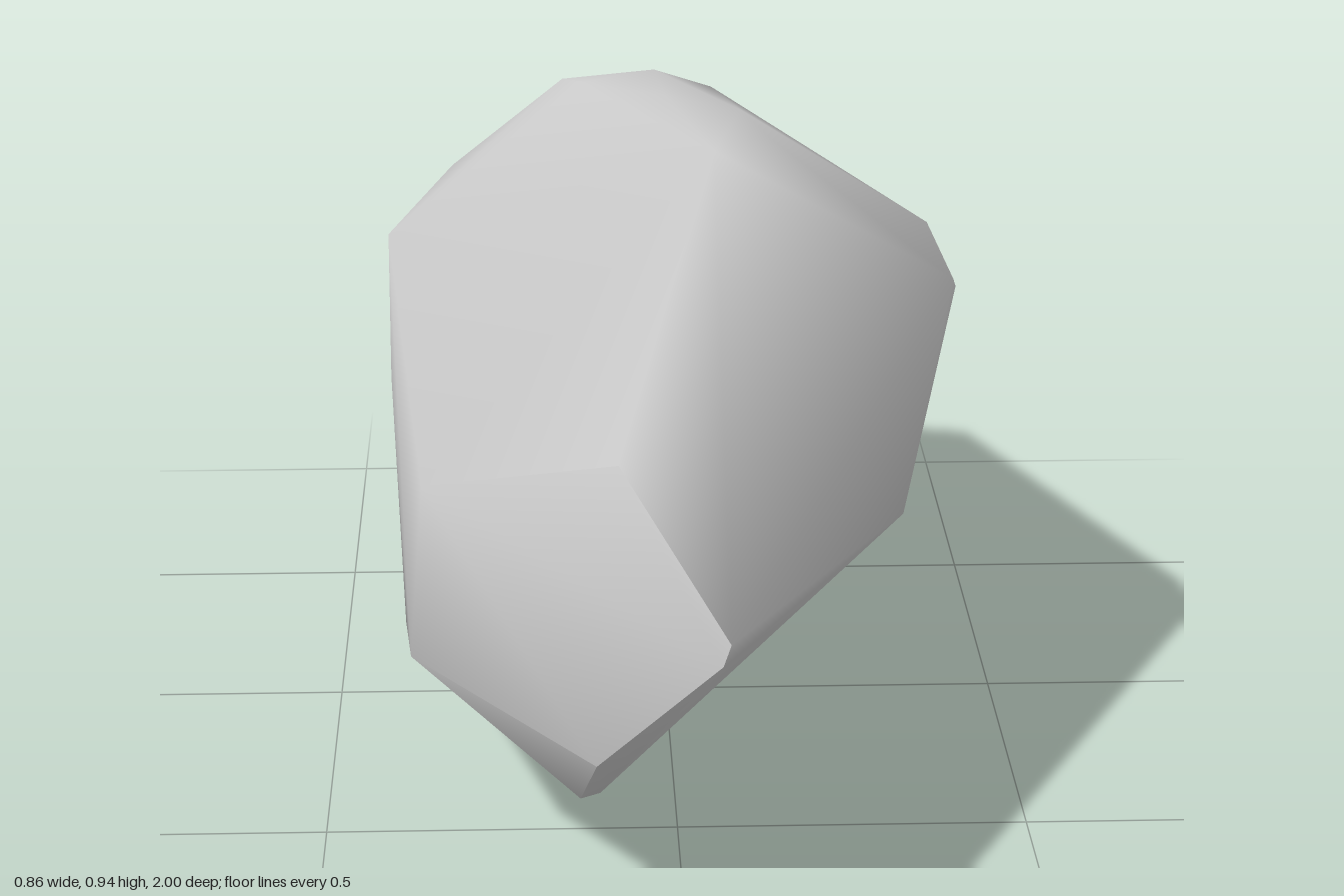
import * as THREE from 'three';
import { ConvexGeometry } from 'three/addons/geometries/ConvexGeometry.js';
import { toCreasedNormals } from 'three/addons/utils/BufferGeometryUtils.js';

// Corner points of the boulder, grouped by region
const crown = [
  [0.06, 0.93, 0.25], [0, 0.945, 0], [0.11, 0.928, 0.02], [0.145, 0.91, 0.1],
  [-0.125, 0.915, -0.2], [-0.15, 0.905, -0.26], [0, 0.84, -0.565], [0.1, 0.765, -0.74],
];
const frontTip = [
  [0.05, 0.49, 1], [0.04, 0.46, 1], [-0.09, 0.69, 0.88], [-0.12, 0.26, 0.86],
];
const backTip = [
  [0, 0.45, -1], [0.04, 0.43, -0.98], [0.02, 0.38, -0.995],
  [0, 0.29, -0.92], [-0.1, 0.34, -0.95], [-0.17, 0.28, -0.87],
];
const leftFlank = [
  [0.42, 0.69, 0.1], [0.43, 0.66, 0.04], [0.39, 0.745, -0.01],
  [0.385, 0.2, -0.22], [0.3, 0.15, -0.48],
];
const rightFlank = [
  [-0.35, 0.58, 0.65], [-0.37, 0.32, 0.62], [-0.398, 0.63, 0.11], [-0.415, 0.71, -0.09],
  [-0.32, 0.775, -0.24], [-0.43, 0.36, -0.45], [-0.415, 0.25, -0.33],
  [-0.39, 0.21, 0.23], [-0.355, 0.34, -0.64], [-0.365, 0.23, -0.53],
];
const keel = [
  [-0.14, 0.14, 0.7], [-0.11, 0.06, 0.51], [-0.12, 0.035, 0.4], [-0.075, 0.015, 0.33],
  [-0.09, 0.005, 0.15], [-0.08, 0, -0.2], [0.14, 0.06, -0.045],
  [0.05, 0.04, -0.46], [-0.06, 0.08, -0.535], [-0.17, 0.05, 0.1],
];

export function createModel() {
  const group = new THREE.Group();
  group.name = 'rock';
  const points = [crown, frontTip, backTip, leftFlank, rightFlank, keel]
    .flat()
    .map((p) => new THREE.Vector3(...p));

  // Faceted stone with softly blended edges
  const geometry = toCreasedNormals(new ConvexGeometry(points), 1.3);
  const boulder = new THREE.Mesh(
    geometry,
    new THREE.MeshStandardMaterial({ color: 0xcccccc })
  );
  boulder.name = 'boulder';
  group.add(boulder);
  return group;
}
